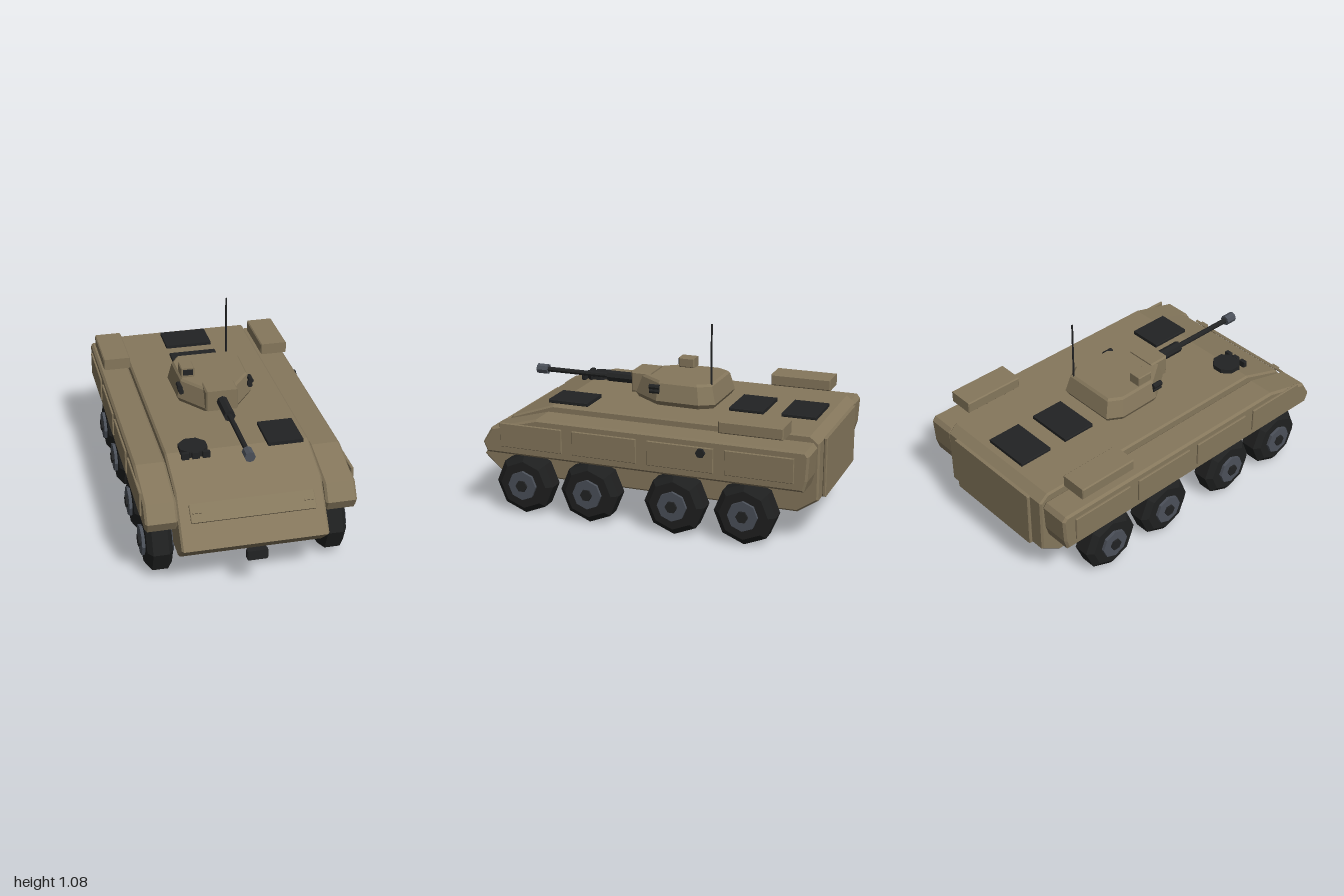
import * as THREE from 'three';
import { ConvexGeometry } from 'three/addons/geometries/ConvexGeometry.js';

const mat = (name, color) => {
  const m = new THREE.MeshStandardMaterial({ color });
  m.name = name;
  return m;
};

export function createModel() {
  const tan = mat('tan armour', 0x85775c);
  const black = mat('black fittings', 0x222324);
  const rubber = mat('tyre rubber', 0x1f2020);
  const steel = mat('blue grey steel', 0x4b5059);

  const model = new THREE.Group();
  model.name = 'armouredCarrier';
  // the body's centreline lies slightly off zero because of the side lamp
  const body = new THREE.Group();
  body.name = 'body';
  body.position.x = -0.011;
  model.add(body);

  const add = (name, geo, material, x = 0, y = 0, z = 0, parent = body) => {
    const mesh = new THREE.Mesh(geo, material);
    mesh.name = name;
    mesh.position.set(x, y, z);
    parent.add(mesh);
    return mesh;
  };

  // side profile of [z, y] points extruded across x with chamfered edges
  const slab = (points, width, bevel) => {
    const shape = new THREE.Shape(points.map(p => new THREE.Vector2(p[0], p[1])));
    const depth = width - 2 * bevel;
    const geo = new THREE.ExtrudeGeometry(shape, {
      depth, bevelEnabled: true, bevelSegments: 1,
      bevelSize: bevel, bevelThickness: bevel, bevelOffset: -bevel,
    });
    geo.translate(0, 0, -depth / 2);
    return geo.rotateY(-Math.PI / 2);
  };
  const box = (w, h, d, bevel = 0.003) => slab(
    [[-d / 2, -h / 2], [d / 2, -h / 2], [d / 2, h / 2], [-d / 2, h / 2]], w, bevel);

  const flat = geo => {
    const g = geo.toNonIndexed();
    g.computeVertexNormals();
    return g;
  };
  const rod = (r, len, sides = 8) => flat(new THREE.CylinderGeometry(r, r, len, sides));
  const rodX = (r, len, sides) => rod(r, len, sides).rotateZ(Math.PI / 2);
  const rodZ = (r, len, sides) => rod(r, len, sides).rotateX(Math.PI / 2);

  // hull
  add('hull', slab([
    [-0.863, 0.175], [0.865, 0.175], [0.975, 0.272], [0.79, 0.52], [0.54, 0.605],
    [-0.925, 0.605], [-0.975, 0.565], [-0.975, 0.25],
  ], 0.78, 0.01), tan);
  add('rearDoor', box(0.62, 0.325, 0.02, 0.005), tan, 0, 0.41, -0.985);

  // hinged plate on the nose, with two grab bars
  const nosePlate = new THREE.Group();
  nosePlate.name = 'nosePlate';
  nosePlate.position.set(0, 0.44, 0.885);
  nosePlate.rotation.x = -Math.PI / 4;
  body.add(nosePlate);
  add('trimVane', box(0.66, 0.1, 0.015), tan, 0, 0, 0, nosePlate);
  for (const s of [-1, 1])
    add('grabBar', box(0.05, 0.008, 0.01, 0.002), tan, s * 0.295, 0, 0.011, nosePlate);
  add('towBlock', box(0.112, 0.055, 0.035, 0.006), black, 0, 0.218, 0.9825);

  // sponsons, side panels, stowage boxes and wheels on both sides
  const sponsonProfile = [
    [-0.94, 0.35], [0.865, 0.35], [0.89, 0.405], [0.835, 0.495], [0.56, 0.57],
    [-0.945, 0.57], [-0.965, 0.545], [-0.957, 0.41],
  ];
  const tyreProfile = [
    [0.07, -0.068], [0.135, -0.068], [0.17, -0.042], [0.17, 0.042], [0.135, 0.068], [0.07, 0.068],
  ].map(p => new THREE.Vector2(p[0], p[1]));
  const tyre = flat(new THREE.LatheGeometry(tyreProfile, 8)).rotateZ(Math.PI / 2);
  const rim = rodX(0.083, 0.17, 8);
  const hub = rodX(0.034, 0.192, 6);

  for (const s of [-1, 1]) {
    const side = s < 0 ? 'right' : 'left';
    add(side + 'Sponson', slab(sponsonProfile, 0.17, 0.012), tan, s * 0.475);
    for (const z of [0.592, 0.16, -0.272, -0.704])
      add(side + 'SidePanel', box(0.016, 0.135, 0.37), tan, s * 0.562, 0.463, z);
    add(side + 'StowageBox', box(0.155, 0.065, 0.35, 0.006), tan, s * 0.472, 0.645, -0.65);

    for (const z of [0.66, 0.27, -0.222, -0.615]) {
      const wheel = new THREE.Group();
      wheel.name = side + 'Wheel';
      wheel.position.set(s * 0.47, 0.173, z);
      add('tyre', tyre, rubber, 0, 0, 0, wheel);
      add('rim', rim, steel, 0, 0, 0, wheel);
      add('hub', hub, black, 0, 0, 0, wheel);
      body.add(wheel);
    }
  }
  add('sideLamp', rodX(0.026, 0.03, 6), black, 0.572, 0.503, -0.39);

  // roof hatches
  add('rearHatch', box(0.275, 0.018, 0.195), black, 0, 0.614, -0.79);
  add('middleHatch', box(0.275, 0.018, 0.195), black, 0, 0.614, -0.495);
  add('enginePanel', box(0.195, 0.02, 0.235), black, 0.254, 0.615, 0.465);
  add('driverHatch', rod(0.08, 0.032), black, -0.237, 0.614, 0.525).rotation.y = Math.PI / 8;
  for (const i of [-1, 0, 1])
    add('periscope', box(0.042, 0.036, 0.022), black, -0.237 + i * 0.056, 0.614, 0.602);

  // turret: one outline stacked at several heights and scales
  const turret = new THREE.Group();
  turret.name = 'turret';
  body.add(turret);
  const half = [[0.17, -0.33], [0.218, -0.25], [0.212, 0.0], [0.09, 0.165]];
  const levels = [[0.615, 0.94], [0.64, 1], [0.735, 0.9], [0.747, 0.85]];
  const shell = [];
  for (const [y, k] of levels)
    for (const [x, z] of half)
      for (const s of [-1, 1])
        shell.push(new THREE.Vector3(s * x * k, y, -0.085 + (z + 0.085) * k));
  add('turretShell', new ConvexGeometry(shell), tan, 0, 0, 0, turret);
  add('turretRing', rod(0.16, 0.03, 16), tan, 0, 0.61, -0.1, turret);

  // gun
  add('mantlet', box(0.18, 0.118, 0.12, 0.008), tan, 0, 0.696, 0.135, turret);
  add('gunSleeve', rodZ(0.032, 0.18), black, 0, 0.69, 0.28, turret);
  add('gunBarrel', rodZ(0.015, 0.4), black, 0, 0.69, 0.56, turret);
  add('muzzle', rodZ(0.029, 0.065), steel, 0, 0.69, 0.782, turret);

  // sight, smoke dischargers and aerial
  add('sightHousing', box(0.076, 0.055, 0.092, 0.005), tan, -0.147, 0.778, -0.06, turret);
  add('sightWindow', box(0.056, 0.032, 0.008, 0.001), black, -0.147, 0.781, -0.0125, turret);
  for (const s of [-1, 1])
    for (const [x, y] of [[0.202, 0.715], [0.196, 0.69]])
      add('smokeDischarger', rodZ(0.015, 0.058), black, s * x, y, 0.012, turret);
  add('aerial', rod(0.0055, 0.345, 6), black, 0.137, 0.9075, -0.295, turret);

  return model;
}
